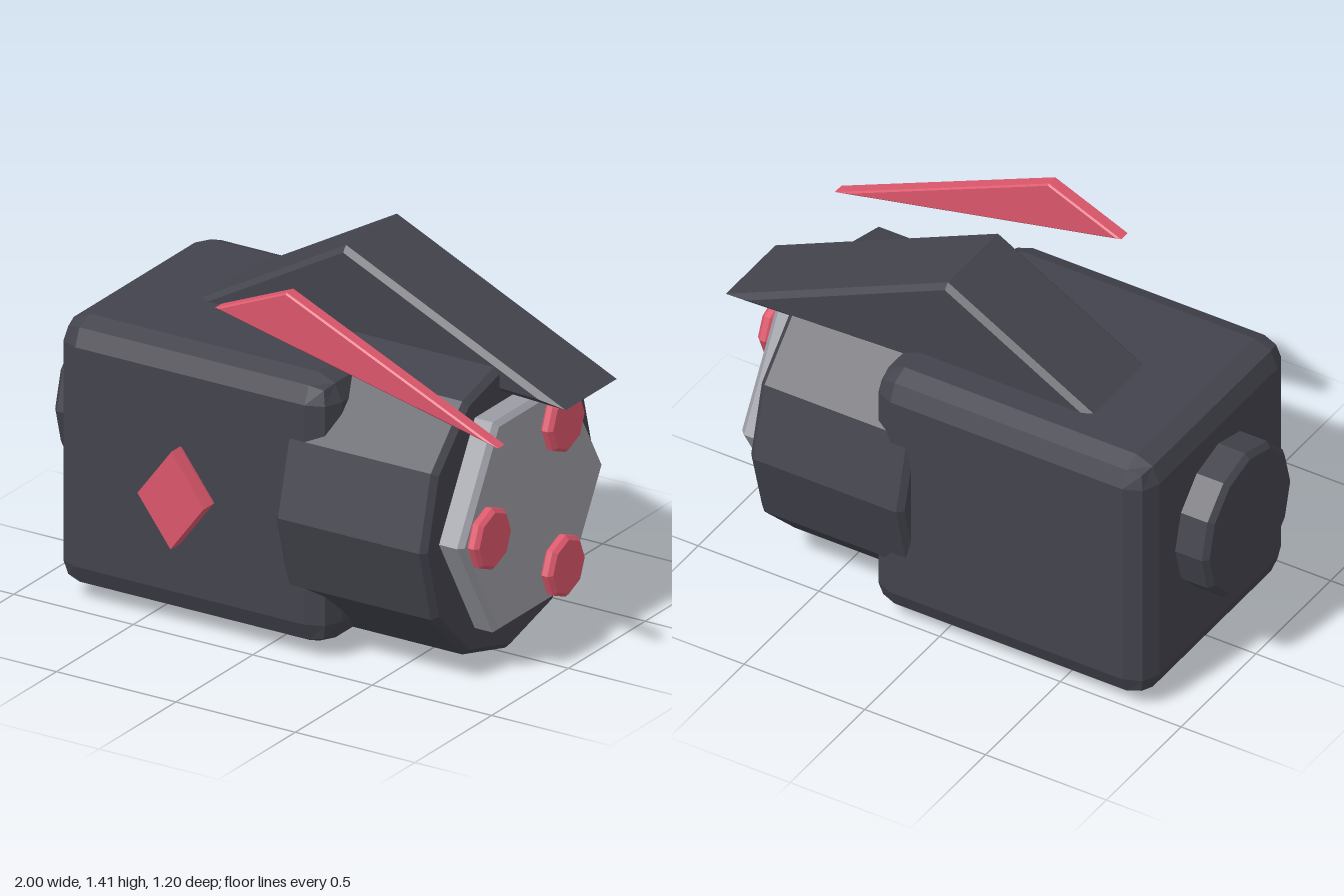
import * as THREE from 'three';
import { RoundedBoxGeometry } from 'three/addons/geometries/RoundedBoxGeometry.js';

function material(name, color) {
  const m = new THREE.MeshStandardMaterial({ color, flatShading: true });
  m.name = name;
  return m;
}

// Many-sided disc or drum along y, with chamfered rims
function drum(radius, length, sides, bevel) {
  const h = length / 2;
  const profile = [
    [0, -h], [radius - bevel, -h], [radius, -h + bevel],
    [radius, h - bevel], [radius - bevel, h], [0, h],
  ].map(([x, y]) => new THREE.Vector2(x, y));
  return new THREE.LatheGeometry(profile, sides);
}

// Triangular slab along z, its end faces inset evenly about the incentre.
// Corners run counter-clockwise.
function wedge(corners, z0, z1, bevel) {
  const p = corners.map(([x, y]) => new THREE.Vector2(x, y));
  const side = [0, 1, 2].map((i) => p[(i + 1) % 3].distanceTo(p[(i + 2) % 3]));
  const perimeter = side[0] + side[1] + side[2];
  const centre = new THREE.Vector2();
  p.forEach((v, i) => centre.addScaledVector(v, side[i] / perimeter));
  const area = Math.abs(p[1].clone().sub(p[0]).cross(p[2].clone().sub(p[0]))) / 2;
  const inset = 1 - (bevel * perimeter) / (2 * area);

  const positions = [];
  const sections = [[z0, inset], [z0 + bevel, 1], [z1 - bevel, 1], [z1, inset]];
  for (const [z, scale] of sections) {
    for (const v of p) {
      const q = v.clone().sub(centre).multiplyScalar(scale).add(centre);
      positions.push(q.x, q.y, z);
    }
  }
  const index = [0, 2, 1, 9, 10, 11];
  for (let r = 0; r < 3; r++) {
    for (let i = 0; i < 3; i++) {
      const a = r * 3 + i;
      const b = r * 3 + ((i + 1) % 3);
      index.push(a, b, b + 3, a, b + 3, a + 3);
    }
  }
  const indexed = new THREE.BufferGeometry();
  indexed.setAttribute('position', new THREE.Float32BufferAttribute(positions, 3));
  indexed.setIndex(index);
  const geometry = indexed.toNonIndexed();
  geometry.computeVertexNormals();
  return geometry;
}

export function createModel() {
  const dark = material('darkCasing', 0x42434c);
  const grey = material('greyPlate', 0x9b9ca4);
  const red = material('redTrim', 0xdb576b);
  const model = new THREE.Group();
  model.name = 'boxyDevice';

  function add(name, geometry, mat, x = 0, y = 0, z = 0) {
    const mesh = new THREE.Mesh(geometry, mat);
    mesh.name = name;
    mesh.position.set(x, y, z);
    model.add(mesh);
    return mesh;
  }

  // Drum lying along x between x0 and x1
  function addDrum(name, mat, x0, x1, y, z, radius, sides, bevel) {
    const mesh = add(name, drum(radius, x1 - x0, sides, bevel), mat, (x0 + x1) / 2, y, z);
    mesh.rotation.z = -Math.PI / 2;
  }

  // Main housing
  add('body', new RoundedBoxGeometry(1.15, 1.03, 0.98, 1, 0.095), dark, -0.295, 0.56, -0.04);

  // Barrel, end plate and rear cap
  addDrum('barrel', dark, 0.1, 0.735, 0.56, -0.035, 0.56, 12, 0.022);
  addDrum('endPlate', grey, 0.7, 0.83, 0.567, -0.035, 0.465, 6, 0.02);
  addDrum('rearCap', dark, -1, -0.84, 0.615, -0.04, 0.29, 12, 0.02);

  // Three round studs spaced evenly on the end plate
  for (let i = 0; i < 3; i++) {
    const a = (i * Math.PI * 2) / 3;
    addDrum('stud', red, 0.825, 0.877, 0.567 + 0.32 * Math.sin(a),
      -0.035 + 0.32 * Math.cos(a), 0.118, 8, 0.015);
  }

  // Peaked visor on top and the thin trim beside it
  add('visor', wedge([[-0.55, 1.06], [1, 0.995], [0.08, 1.415]], -0.335, 0.037, 0.02), dark);
  add('visorTrim', wedge([[-0.2, 1.26], [0.985, 0.995], [0.1, 1.387]], 0.385, 0.44, 0.006), red);

  // Diamond badge beside the body
  const diamond = add('diamond', drum(1, 0.07, 4, 0.012), red, -0.28, 0.56, 0.565);
  diamond.rotation.x = Math.PI / 2;
  diamond.scale.set(0.14, 1, 0.187);

  return model;
}
